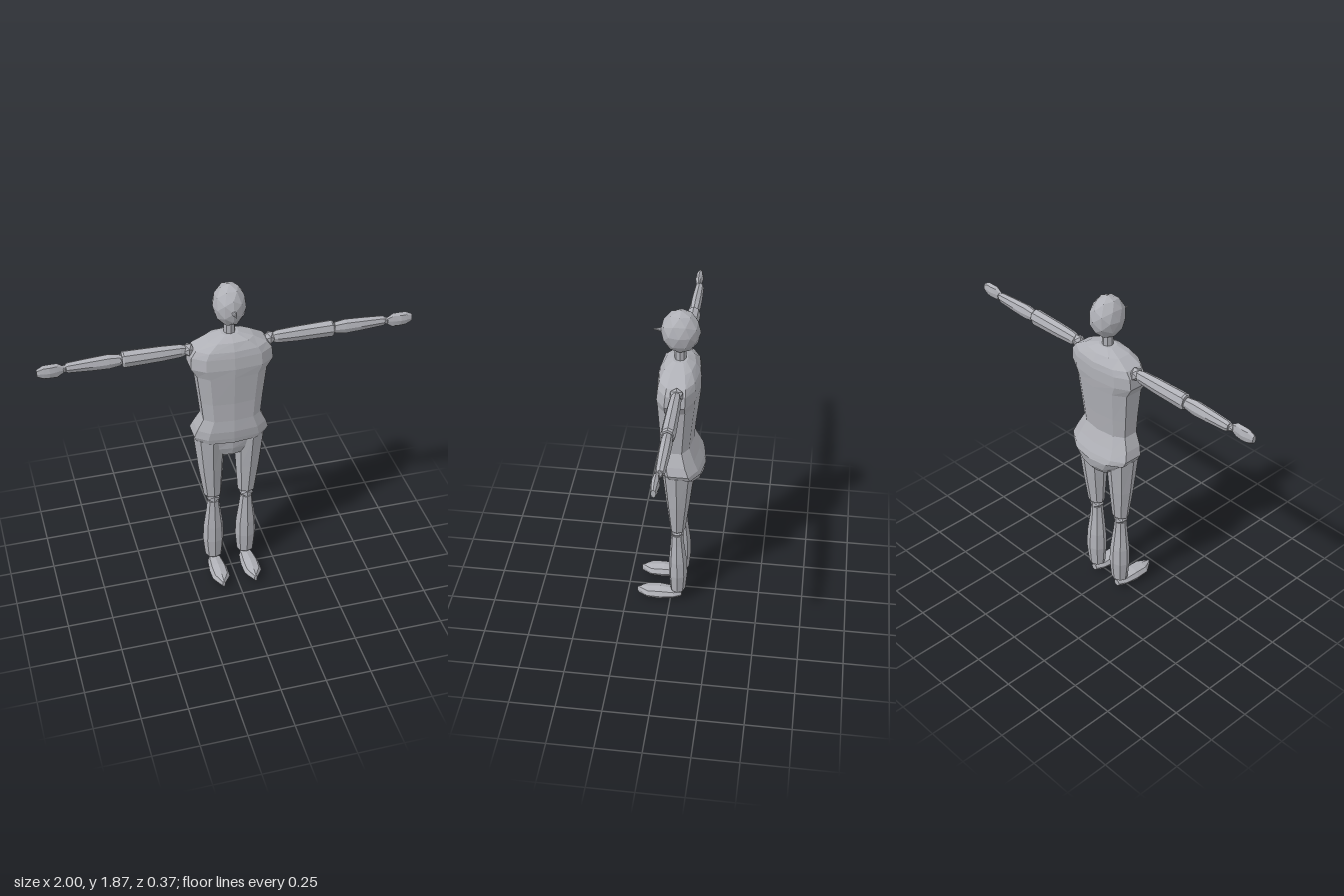
import * as THREE from 'three';

// Ring of points around the y axis, from the front (+z) towards +x
function ring(y, rx, rz, cx = 0, cz = 0, n = 8) {
  return Array.from({ length: n }, (_, k) => {
    const a = (k / n) * Math.PI * 2;
    return [cx + Math.sin(a) * rx, y, cz + Math.cos(a) * rz];
  });
}

// Faceted skin over rings ordered upwards, closed at both ends
function loft(rings) {
  const n = rings[0].length, pos = [];
  const mid = r => [0, 1, 2].map(i => r.reduce((s, p) => s + p[i], 0) / n);
  const first = rings[0], last = rings[rings.length - 1];
  const low = mid(first), high = mid(last);
  for (let k = 0; k < n; k++) {
    const j = (k + 1) % n;
    for (let i = 0; i < rings.length - 1; i++) {
      const a = rings[i], b = rings[i + 1];
      pos.push(...a[k], ...a[j], ...b[j], ...a[k], ...b[j], ...b[k]);
    }
    pos.push(...low, ...first[j], ...first[k], ...high, ...last[k], ...last[j]);
  }
  const g = new THREE.BufferGeometry();
  g.setAttribute('position', new THREE.Float32BufferAttribute(pos, 3));
  g.computeVertexNormals();
  return g;
}

function ball(rx, ry, rz, detail = 0) {
  const g = new THREE.IcosahedronGeometry(1, detail).scale(rx, ry, rz);
  g.computeVertexNormals();
  return g;
}

export function createModel() {
  const model = new THREE.Group();
  const grey = new THREE.MeshStandardMaterial({ color: 0xb0b1b7 });
  grey.name = 'grey';
  const add = (name, geometry, x = 0, y = 0, z = 0) => {
    const m = new THREE.Mesh(geometry, grey);
    m.name = name;
    m.position.set(x, y, z);
    model.add(m);
    return m;
  };

  // Torso: height, half width, front z, back z
  const torso = [
    [0.83, 0.07, 0.02, -0.13], [0.88, 0.12, 0.035, -0.172], [0.935, 0.17, 0.04, -0.182],
    [0.94, 0.192, 0.06, -0.18], [0.97, 0.205, 0.065, -0.17], [1.02, 0.19, 0.07, -0.145],
    [1.09, 0.157, 0.065, -0.115], [1.2, 0.168, 0.066, -0.125], [1.37, 0.187, 0.077, -0.145],
    [1.425, 0.22, 0.08, -0.15], [1.49, 0.215, 0.073, -0.15], [1.525, 0.19, 0.065, -0.145],
    [1.565, 0.12, 0.042, -0.12], [1.59, 0.045, 0.0, -0.08],
  ].map(([y, w, f, b]) => {
    const d = f - b;
    const half = [[0.68, f - 0.06 * d], [1, f - 0.27 * d], [1, f - 0.73 * d], [0.65, b + 0.08 * d]];
    return [[0, y, f], ...half.map(([s, z]) => [s * w, y, z]),
      [0, y, b], ...half.reverse().map(([s, z]) => [-s * w, y, z])];
  });
  add('torso', loft(torso));

  // Neck, head and nose
  add('neck', loft([ring(1.57, 0.03, 0.03, 0, -0.04), ring(1.66, 0.03, 0.03, 0, -0.04)]));
  add('head', ball(0.088, 0.119, 0.103, 1), 0, 1.752, -0.041);
  add('nose', loft([ring(0, 0.014, 0.014), ring(0.05, 0.002, 0.002)]), 0, 1.752, 0.05).rotation.x = Math.PI / 2;

  for (const s of [1, -1]) {
    const side = s > 0 ? 'left' : 'right';
    const part = (name, ...rest) => add(side + name, ...rest);

    // Arm segments run outwards along x: distance, half height, half depth
    const along = (name, rows, z = -0.046) =>
      (part(name, loft(rows.map(([t, h, d]) => ring(t, h, d))), 0, 1.508, z).rotation.z = -s * Math.PI / 2);
    part('Shoulder', ball(0.034, 0.038, 0.038), s * 0.217, 1.508, -0.046);
    along('UpperArm', [[0.225, 0.027, 0.02], [0.26, 0.038, 0.03], [0.36, 0.044, 0.035],
      [0.555, 0.048, 0.038], [0.565, 0.04, 0.032]]);
    part('Elbow', ball(0.025, 0.03, 0.028), s * 0.568, 1.508, -0.046);
    along('Forearm', [[0.572, 0.033, 0.026], [0.63, 0.043, 0.031], [0.72, 0.038, 0.03],
      [0.84, 0.029, 0.025], [0.852, 0.022, 0.02]]);
    part('Wrist', ball(0.02, 0.022, 0.022), s * 0.858, 1.508, -0.042);
    along('Hand', [[0.855, 0.015, 0.008], [0.895, 0.042, 0.016], [0.935, 0.042, 0.023],
      [0.965, 0.041, 0.019], [1, 0.022, 0.013]], -0.036);

    // Leg segments: height, centre x, half width, centre z, half depth
    const upright = (name, rows) =>
      part(name, loft(rows.map(([y, cx, rx, cz, rz]) => ring(y, rx, rz, s * cx, cz))));
    upright('Thigh', [[0.53, 0.097, 0.05, -0.04, 0.042], [0.72, 0.105, 0.07, -0.042, 0.064],
      [0.945, 0.112, 0.088, -0.043, 0.088]]);
    part('Knee', ball(0.042, 0.034, 0.04), s * 0.096, 0.503, -0.038);
    upright('Shin', [[0.08, 0.094, 0.049, -0.042, 0.043], [0.2, 0.095, 0.061, -0.043, 0.053],
      [0.3, 0.095, 0.057, -0.042, 0.05], [0.42, 0.095, 0.041, -0.038, 0.038],
      [0.485, 0.096, 0.034, -0.037, 0.034]]);
    part('Ankle', ball(0.032, 0.03, 0.028), s * 0.094, 0.073, -0.037);

    // Foot runs forwards: z, half width, half height
    const foot = [[-0.065, 0.02, 0.02], [-0.02, 0.042, 0.028], [0.06, 0.052, 0.038],
      [0.13, 0.05, 0.033], [0.19, 0.008, 0.022]];
    part('Foot', loft(foot.map(([z, w, h]) => ring(z, w, h, 0, 0, 8))), s * 0.094, 0.038, 0).rotation.x = Math.PI / 2;
  }
  return model;
}
